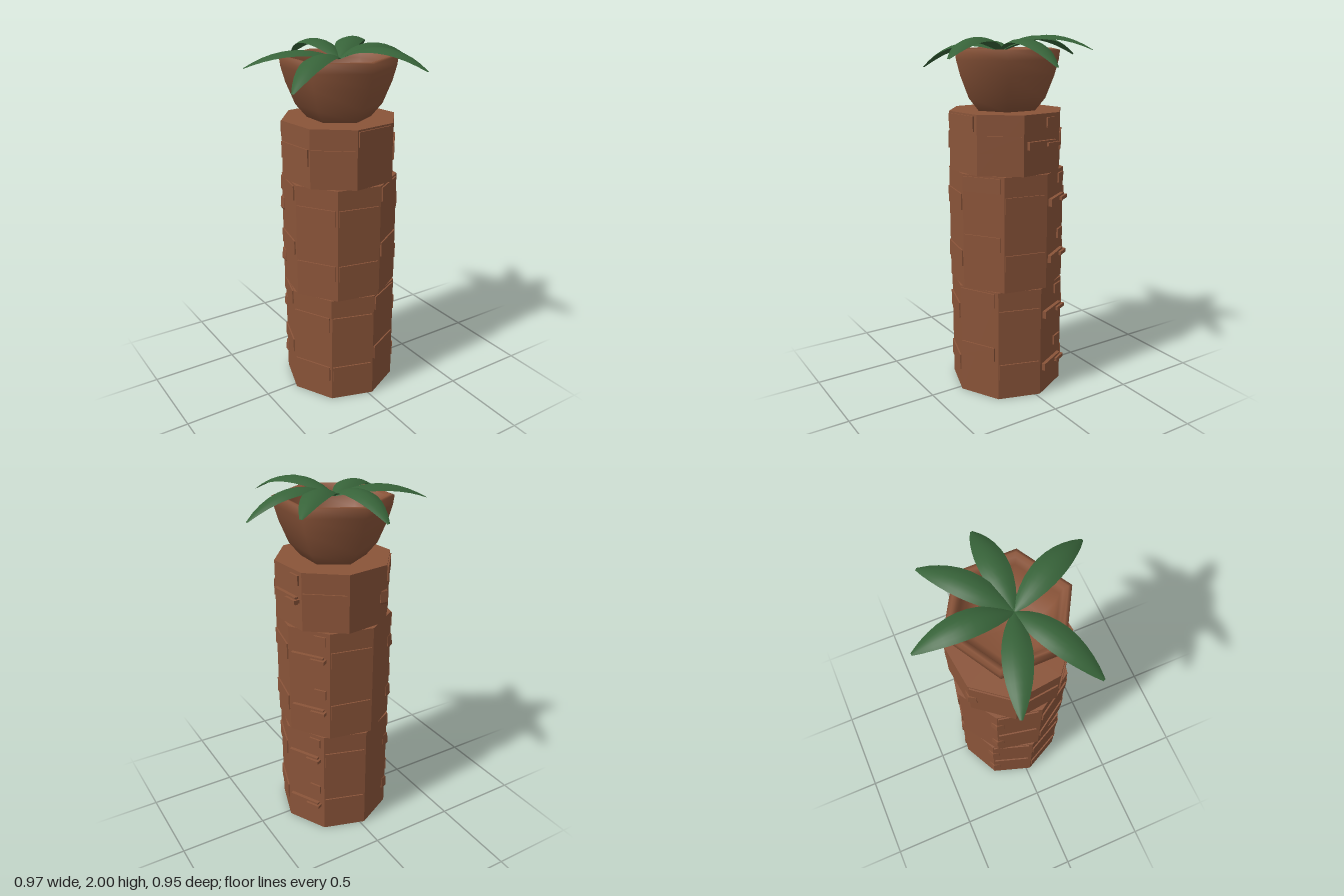
import * as THREE from 'three';

const brick = new THREE.MeshStandardMaterial({ color: 0x8a5439, flatShading: true });
const clay = new THREE.MeshStandardMaterial({ color: 0x8a5439, side: THREE.DoubleSide });
const green = new THREE.MeshStandardMaterial({ color: 0x376339, side: THREE.DoubleSide });

const RADIUS = 0.32;
const APOTHEM = RADIUS * Math.cos(Math.PI / 8);
const ROW = 0.32;
const rad = THREE.MathUtils.degToRad;

function add(parent, name, geometry, material, x = 0, y = 0, z = 0) {
  const mesh = new THREE.Mesh(geometry, material);
  mesh.name = name;
  mesh.position.set(x, y, z);
  parent.add(mesh);
  return mesh;
}

// Block standing out from a wall face; x and y are its centre on that face
function block(face, name, x, y, w, h, out) {
  const depth = out + 0.02;
  add(face, name, new THREE.BoxGeometry(w, h, depth), brick, x, y, APOTHEM + out - depth / 2);
}

// One row of details around the octagonal wall
function detailRow(section, y) {
  for (let k = 0; k < 8; k++) {
    const face = new THREE.Group();
    face.name = 'wallFace';
    face.rotation.y = rad(22.5 + 45 * k);
    section.add(face);
    if (k === 0 || k === 5) block(face, 'upperBrick', -0.008, y + 0.27, 0.215, 0.08, 0.008);
    if ([1, 3, 6, 7].includes(k)) block(face, 'lowerBrick', -0.003, y + 0.165, 0.228, 0.09, 0.008);
    if (k === 2) {
      block(face, 'ledge', -0.006, y + 0.16, 0.19, 0.042, 0.02);
      block(face, 'ledgeStep', 0.06, y + 0.16, 0.084, 0.02, 0.034);
      block(face, 'smallBlock', 0.066, y + 0.272, 0.07, 0.054, 0.01);
    }
  }
  // Pointed boss on the rear corner
  const profile = [[0, 0.055], [0.045, 0.12], [0.04, 0.18], [0, 0.24]].map(p => new THREE.Vector2(...p));
  const a = rad(225);
  add(section, 'cornerBoss', new THREE.LatheGeometry(profile, 6, a), brick,
    Math.sin(a) * 0.287, y, Math.cos(a) * 0.287);
}

// Arched leaf: loops of cross-sections along a curve from the root to the tip
function leafGeometry(root, tip, peak) {
  const rows = 10, cols = 6;
  const control = root.clone().lerp(tip, 0.5);
  control.y = 2 * peak - 0.5 * (root.y + tip.y);
  const curve = new THREE.QuadraticBezierCurve3(root, control, tip);
  const side = new THREE.Vector3(root.z - tip.z, 0, tip.x - root.x).normalize();
  const positions = [], index = [];
  for (let i = 0; i <= rows; i++) {
    const t = i / rows;
    const half = 0.007 + 0.064 * Math.pow(Math.sin(Math.PI * Math.pow(t, 0.92)), 0.85);
    const centre = curve.getPoint(t);
    for (let j = 0; j <= cols; j++) {
      const s = j / cols * 2 - 1;
      const p = centre.clone().addScaledVector(side, s * half);
      positions.push(p.x, p.y - 0.3 * half * s * s, p.z);
      if (i < rows && j < cols) {
        const a = i * (cols + 1) + j, b = a + cols + 1;
        index.push(a, a + 1, b, b, a + 1, b + 1);
      }
    }
  }
  const geometry = new THREE.BufferGeometry();
  geometry.setAttribute('position', new THREE.Float32BufferAttribute(positions, 3));
  geometry.setIndex(index);
  geometry.computeVertexNormals();
  return geometry;
}

export function createModel() {
  const model = new THREE.Group();
  model.name = 'brickPedestalPlanter';

  // Octagonal column in three twisted sections: [base y, rows, turn in degrees]
  for (const [base, rows, turn] of [[0, 2, 4.5], [0.64, 2, 10.8], [1.28, 1, -16]]) {
    const section = new THREE.Group();
    section.name = 'columnSection';
    section.position.y = base;
    section.rotation.y = rad(turn);
    model.add(section);
    const height = rows * ROW;
    add(section, 'wall', new THREE.CylinderGeometry(RADIUS, RADIUS, height, 8), brick, 0, height / 2, 0);
    for (let r = 0; r < rows; r++) detailRow(section, r * ROW);
  }

  // Six-sided pot with a rounded rim and hollow inside
  const potProfile = [
    [0, 1.6], [0.175, 1.6], [0.235, 1.67], [0.285, 1.79], [0.308, 1.87], [0.315, 1.92],
    [0.295, 1.925], [0.27, 1.918], [0.255, 1.88], [0.235, 1.8], [0.17, 1.74], [0, 1.73],
  ].map(p => new THREE.Vector2(...p));
  add(model, 'pot', new THREE.LatheGeometry(potProfile, 6), clay);

  // Leaves: [tip x, tip y, tip z, height at mid length]
  const leaves = [
    [-0.015, 1.885, -0.475, 1.99], [0.357, 1.92, -0.308, 1.995], [0.485, 1.845, 0.015, 1.975],
    [0.215, 1.885, 0.47, 1.985], [-0.442, 1.815, 0.278, 1.95], [-0.485, 1.88, -0.148, 1.96],
  ];
  for (const [x, y, z, peak] of leaves) {
    const root = new THREE.Vector3(-0.015, 1.91, 0.022);
    add(model, 'leaf', leafGeometry(root, new THREE.Vector3(x, y, z), peak), green);
  }
  return model;
}
